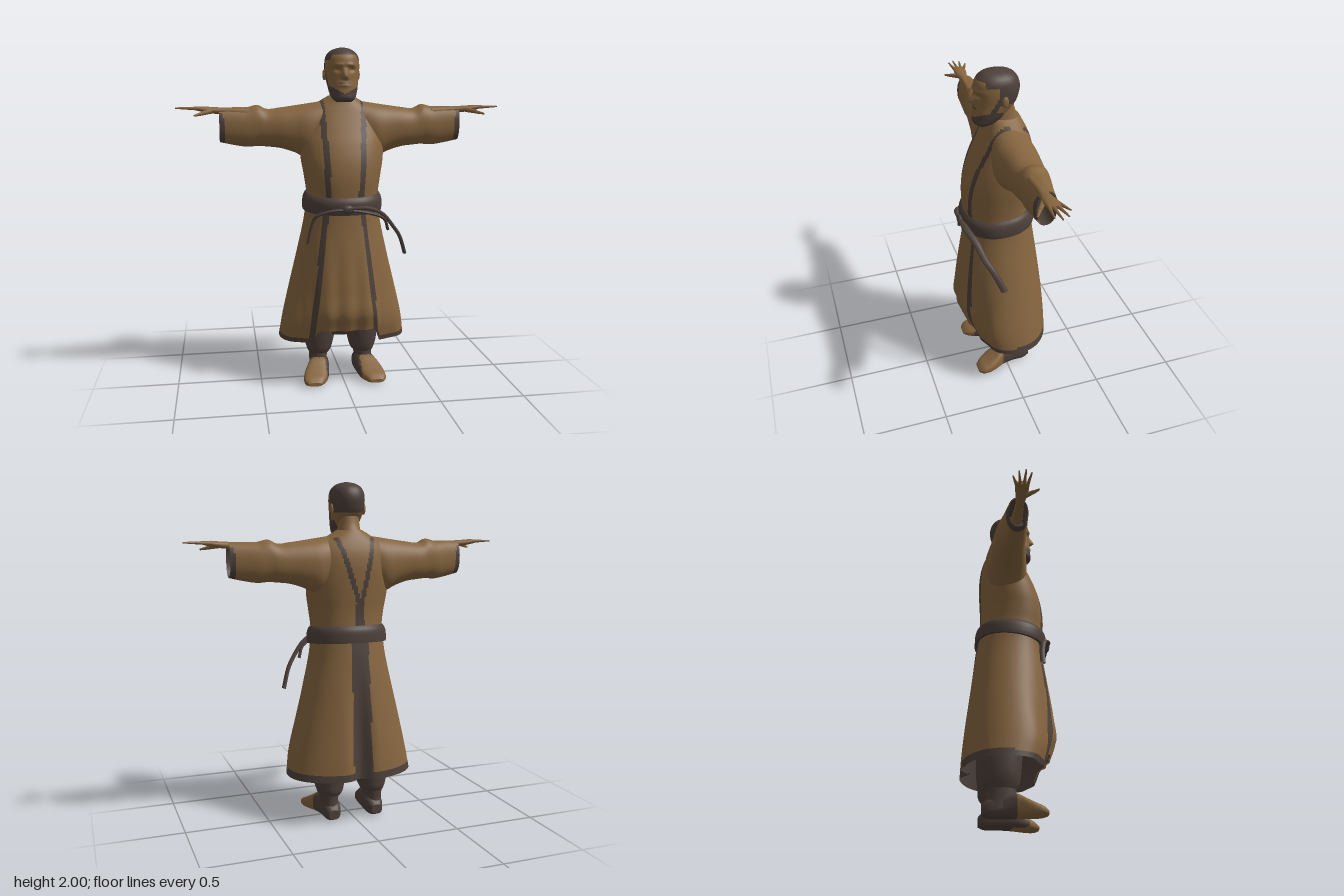
import * as THREE from 'three';

const tan = new THREE.MeshStandardMaterial({ color: 0x86653f, side: THREE.DoubleSide });
tan.name = 'tan cloth and skin';
const dark = new THREE.MeshStandardMaterial({ color: 0x4d403a, side: THREE.DoubleSide });
dark.name = 'dark brown trim';

const { lerp, smoothstep, mapLinear } = THREE.MathUtils;

// Skin rounded sections along an axis (0 x, 1 y, 2 z).
// Rows are [position, aMin, aMax, bMin, bMax]; a and b are axes +2 and +1.
// paint(p) says which faces are dark; warp(p) moves vertices.
function loft(name, axis, rows, { n = 2.2, seg = 32, steps = 24, warp, paint, mat = tan, caps = true } = {}) {
  const curve = new THREE.CubicInterpolant(rows.map(r => r[0]), rows.flatMap(r => r.slice(1)), 4, new Float32Array(4));
  const first = rows[0][0], last = rows[rows.length - 1][0];
  const b = (axis + 1) % 3, a = (axis + 2) % 3;
  const bend = v => Math.sign(v) * Math.abs(v) ** (2 / n);
  const pts = [];
  for (let j = 0; j <= steps; j++) {
    const t = lerp(first, last, j / steps);
    const [a0, a1, b0, b1] = curve.evaluate(t);
    for (let i = 0; i < seg; i++) {
      const th = (i / seg) * Math.PI * 2;
      const p = new THREE.Vector3();
      p.setComponent(axis, t);
      p.setComponent(a, (a0 + a1) / 2 + (a1 - a0) / 2 * bend(Math.cos(th)));
      p.setComponent(b, (b0 + b1) / 2 + (b1 - b0) / 2 * bend(Math.sin(th)));
      if (warp) warp(p);
      pts.push(p);
    }
  }
  const faces = [[], []];
  const add = (...ids) => {
    const mid = new THREE.Vector3();
    ids.forEach(i => mid.addScaledVector(pts[i], 1 / ids.length));
    const list = faces[paint && paint(mid) ? 1 : 0];
    for (let k = 1; k < ids.length - 1; k++) list.push(ids[0], ids[k], ids[k + 1]);
  };
  for (let j = 0; j < steps; j++) for (let i = 0; i < seg; i++) {
    const p = j * seg + i, q = j * seg + (i + 1) % seg;
    add(p, p + seg, q + seg, q);
  }
  if (caps) for (const end of [0, 1]) {
    const start = pts.length;
    const ring = pts.slice(end * steps * seg, end * steps * seg + seg);
    const mid = new THREE.Vector3();
    ring.forEach(p => mid.addScaledVector(p, 1 / seg));
    pts.push(...ring, mid);
    for (let i = 0; i < seg; i++) {
      const p = start + i, q = start + (i + 1) % seg;
      end ? add(q, p, start + seg) : add(p, q, start + seg);
    }
  }
  const geo = new THREE.BufferGeometry().setFromPoints(pts);
  geo.setIndex([...faces[0], ...faces[1]]);
  if (paint) {
    geo.addGroup(0, faces[0].length, 0);
    geo.addGroup(faces[0].length, faces[1].length, 1);
  }
  geo.computeVertexNormals();
  const mesh = new THREE.Mesh(geo, paint ? [tan, dark] : mat);
  mesh.name = name;
  return mesh;
}

// Tapered round rod between two points
function rod(name, from, to, r0, r1) {
  const A = new THREE.Vector3(...from), B = new THREE.Vector3(...to), d = B.clone().sub(A);
  const geo = new THREE.CylinderGeometry(r1, r0, d.length(), 8);
  geo.applyQuaternion(new THREE.Quaternion().setFromUnitVectors(new THREE.Vector3(0, 1, 0), d.clone().normalize()));
  geo.translate(...A.add(B).multiplyScalar(0.5).toArray());
  const mesh = new THREE.Mesh(geo, tan);
  mesh.name = name;
  return mesh;
}

// Flat cloth strand, deeper in z than it is thick
function strand(name, path, r, flat) {
  const curve = new THREE.CatmullRomCurve3(path.map(([x, y, z]) => new THREE.Vector3(x, y, z / flat)));
  const geo = new THREE.TubeGeometry(curve, 28, r, 8);
  geo.scale(1, 1, flat);
  geo.computeVertexNormals();
  const mesh = new THREE.Mesh(geo, dark);
  mesh.name = name;
  return mesh;
}

// Mirror a left part across x with the winding kept outward
function mirrored(mesh) {
  const geo = mesh.geometry.clone().scale(-1, 1, 1), ix = geo.index.array;
  for (let i = 0; i < ix.length; i += 3) [ix[i], ix[i + 1]] = [ix[i + 1], ix[i]];
  const copy = new THREE.Mesh(geo, mesh.material);
  copy.name = mesh.name.replace('left', 'right');
  return copy;
}

export function createModel() {
  const model = new THREE.Group();
  model.name = 'robedMan';
  const near = (v, c, w) => Math.abs(v - c) < w;

  // Skirt: raised front panel, stepped side panels, back pleat
  const skirtRows = [[0.275, -0.385, 0.385, -0.27, 0.24], [0.4, -0.365, 0.365, -0.265, 0.272], [0.6, -0.32, 0.32, -0.247, 0.262],
    [0.8, -0.272, 0.272, -0.222, 0.238], [1.0, -0.228, 0.228, -0.193, 0.212], [1.12, -0.214, 0.214, -0.175, 0.205]];
  const skirtWarp = p => {
    const low = 1 - smoothstep(p.y, 0.4, 1.05), ax = Math.abs(p.x);
    if (p.z > 0) {
      const side = smoothstep(ax, 0.165, 0.205);
      p.z += low * ((1 - side) * 0.006 * Math.cos(p.x * 55) - 0.028 * side * (1 - smoothstep(ax, 0.25, 0.36)));
      p.y += 0.085 * (1 - side) * (1 - smoothstep(p.y, 0.275, 0.6));
    } else p.z += 0.05 * low * Math.exp(-((p.x / 0.055) ** 2));
  };
  model.add(loft('skirt', 1, skirtRows, {
    seg: 160, steps: 60, caps: false, warp: skirtWarp,
    paint: p => p.z > 0
      ? near(p.x, mapLinear(p.y, 0.4, 1.05, -0.195, -0.118), 0.017) || near(p.x, mapLinear(p.y, 0.4, 1.05, 0.17, 0.1), 0.015)
        || (p.y < 0.31 && Math.abs(p.x) > 0.2)
      : near(p.x, -0.01, 0.055) || p.y < 0.315,
  }));
  const lining = skirtRows.slice(0, 4).map(r => [r[0] + 0.004, ...r.slice(1).map(v => v * 0.96)]);
  model.add(loft('skirtLining', 1, lining, { seg: 96, steps: 20, caps: false, warp: skirtWarp, mat: dark }));
  model.add(loft('liningTop', 1, [[0.78, -0.26, 0.26, -0.2, 0.215], [0.8, -0.26, 0.26, -0.2, 0.215]], { steps: 1, mat: dark }));

  // Upper robe with front bands and a V of bands on the back
  model.add(loft('upperRobe', 1, [[1.05, -0.222, 0.222, -0.18, 0.205], [1.15, -0.213, 0.213, -0.17, 0.215], [1.25, -0.225, 0.225, -0.165, 0.218],
    [1.35, -0.242, 0.242, -0.17, 0.203], [1.45, -0.25, 0.25, -0.175, 0.17], [1.53, -0.245, 0.245, -0.175, 0.133], [1.6, -0.232, 0.232, -0.165, 0.1],
    [1.65, -0.2, 0.2, -0.148, 0.078], [1.69, -0.13, 0.13, -0.13, 0.062], [1.725, -0.072, 0.072, -0.112, 0.055]], {
    seg: 160, steps: 64,
    paint: p => {
      if (p.z > -0.03) return near(p.x, mapLinear(p.y, 1.2, 1.7, -0.105, -0.127), 0.017) || near(p.x, mapLinear(p.y, 1.2, 1.7, 0.088, 0.125), 0.017);
      if (p.y < 1.3) return near(p.x, -0.015, 0.03);
      const k = (p.y - 1.28) / 0.34;
      return p.y < 1.68 && (near(p.x, lerp(-0.02, 0.09, k), 0.015) || near(p.x, lerp(-0.02, -0.095, k), 0.015));
    },
  }));

  // Belt, knot and hanging ends
  model.add(loft('belt', 1, [[1.065, -0.236, 0.236, -0.196, 0.226], [1.09, -0.238, 0.238, -0.196, 0.232], [1.15, -0.228, 0.228, -0.186, 0.23],
    [1.165, -0.216, 0.216, -0.172, 0.216]], { seg: 64, steps: 10, mat: dark, warp: p => { p.y -= 0.08 * p.z; } }));
  const knot = new THREE.Mesh(new THREE.SphereGeometry(1, 16, 10).scale(0.035, 0.026, 0.02), dark);
  knot.name = 'beltKnot';
  knot.position.set(0, 1.085, 0.24);
  model.add(knot);
  model.add(strand('beltEndLong', [[0, 1.09, 0.24], [0.12, 1.09, 0.235], [0.21, 1.05, 0.205], [0.28, 0.97, 0.175], [0.33, 0.9, 0.135], [0.375, 0.785, 0.085]], 0.011, 1.9));
  model.add(strand('beltLoop', [[0.02, 1.08, 0.24], [0.13, 1.06, 0.235], [0.22, 1.02, 0.2], [0.25, 0.95, 0.175]], 0.009, 1.5));
  model.add(strand('beltEndShort', [[0, 1.085, 0.24], [-0.1, 1.075, 0.235], [-0.18, 1.04, 0.2], [-0.205, 0.97, 0.185], [-0.225, 0.88, 0.185]], 0.009, 1.7));

  // Parts in pairs
  const left = [];
  const sleeve = [[0.1, -0.13, 0.08, 1.45, 1.695], [0.2, -0.155, 0.098, 1.365, 1.68], [0.28, -0.147, 0.085, 1.395, 1.668], [0.36, -0.136, 0.074, 1.42, 1.657],
    [0.44, -0.127, 0.062, 1.43, 1.65], [0.49, -0.117, 0.058, 1.434, 1.672], [0.55, -0.108, 0.055, 1.43, 1.66], [0.62, -0.09, 0.05, 1.44, 1.66], [0.712, -0.07, 0.045, 1.46, 1.657]];
  left.push(loft('leftSleeve', 0, sleeve, {
    seg: 48, steps: 60, caps: false,
    paint: p => p.x > 0.68 + 0.3 * Math.max(0, p.y - 1.58) && p.y < 1.63,
  }));
  left.push(loft('leftSleeveLining', 0, sleeve.slice(5).map(([x, a, b, c, d]) => [x - 0.002, a + 0.006, b - 0.006, c + 0.006, d - 0.006]),
    { steps: 8, caps: false, mat: dark }));
  left.push(loft('leftSleeveDepth', 0, [[0.53, -0.105, 0.05, 1.44, 1.65], [0.54, -0.105, 0.05, 1.44, 1.65]], { steps: 1, mat: dark }));
  left.push(loft('leftHand', 0, [[0.54, -0.035, 0.032, 1.6, 1.655], [0.7, -0.024, 0.027, 1.62, 1.66], [0.77, -0.034, 0.036, 1.628, 1.664],
    [0.82, -0.04, 0.037, 1.638, 1.667], [0.85, -0.034, 0.032, 1.645, 1.664]], { seg: 20, steps: 14 }));
  [[-0.03, 0.895, -0.06], [-0.012, 0.94, -0.033], [0.007, 0.957, 0.004], [0.025, 0.935, 0.037]].forEach(([z0, x, z], i) =>
    left.push(rod('leftFinger' + (i + 1), [0.82, 1.654, z0], [x, 1.657, z], 0.011, 0.004)));
  left.push(rod('leftThumb', [0.755, 1.64, 0.02], [0.81, 1.628, 0.062], 0.015, 0.011));
  left.push(rod('leftThumbTip', [0.805, 1.628, 0.059], [0.85, 1.617, 0.088], 0.011, 0.005));

  left.push(loft('leftTrouserLeg', 1, [[0.155, 0.07, 0.205, -0.14, 0.04], [0.175, 0.06, 0.212, -0.152, 0.052], [0.21, 0.05, 0.222, -0.155, 0.06],
    [0.3, 0.032, 0.232, -0.165, 0.07], [0.5, 0.005, 0.235, -0.165, 0.08]], { mat: dark }));
  left.push(loft('leftBootShaft', 1, [[0.04, 0.085, 0.195, -0.14, 0.04], [0.1, 0.088, 0.195, -0.132, 0.04], [0.19, 0.08, 0.2, -0.138, 0.035]], { mat: dark }));
  left.push(loft('leftFoot', 2, [[-0.15, 0.012, 0.07, 0.105, 0.17], [-0.12, 0, 0.1, 0.088, 0.185], [-0.04, 0, 0.13, 0.08, 0.195], [0.04, 0, 0.13, 0.083, 0.215],
    [0.09, 0, 0.1, 0.09, 0.238], [0.14, 0, 0.072, 0.105, 0.25], [0.18, 0.003, 0.052, 0.13, 0.245], [0.202, 0.01, 0.032, 0.15, 0.225]],
  { n: 2.8, seg: 40, steps: 36, paint: p => p.z < 0.035 || p.x < 0.108 }));

  const ear = new THREE.Mesh(new THREE.SphereGeometry(1, 12, 10).scale(0.011, 0.032, 0.019).translate(0.1, 1.845, -0.005), tan);
  ear.name = 'leftEar';
  left.push(ear);
  left.forEach(part => model.add(part, mirrored(part)));

  model.add(loft('trouserSeat', 1, [[0.27, -0.16, 0.16, -0.12, 0.04], [0.32, -0.19, 0.19, -0.14, 0.06], [0.5, -0.2, 0.2, -0.14, 0.07]], { steps: 8, mat: dark }));

  // Neck and head: hair, sideburns and beard are dark faces
  model.add(loft('neck', 1, [[1.62, -0.08, 0.08, -0.125, 0.06], [1.7, -0.068, 0.068, -0.118, 0.056], [1.75, -0.062, 0.062, -0.092, 0.055], [1.82, -0.06, 0.06, -0.075, 0.05]], { steps: 12 }));
  model.add(loft('head', 1, [[1.69, -0.042, 0.042, 0.06, 0.13], [1.705, -0.062, 0.062, 0.03, 0.148], [1.74, -0.078, 0.078, -0.02, 0.15], [1.78, -0.087, 0.087, -0.055, 0.146],
    [1.82, -0.094, 0.094, -0.09, 0.141], [1.87, -0.1, 0.1, -0.108, 0.141], [1.91, -0.1, 0.1, -0.112, 0.142], [1.95, -0.092, 0.092, -0.1, 0.131],
    [1.975, -0.073, 0.073, -0.078, 0.108], [1.992, -0.042, 0.042, -0.04, 0.078], [2.0, -0.008, 0.008, 0.01, 0.03]], {
    seg: 88, steps: 72,
    warp: p => {
      if (p.z < 0.08) return;
      const g = (v, c, w) => Math.exp(-(((v - c) / w) ** 2)), ax = Math.abs(p.x);
      const nose = p.y < 1.835 ? smoothstep(p.y, 1.812, 1.835) : 1 - smoothstep(p.y, 1.835, 1.895);
      p.z += 0.032 * g(p.x, 0, 0.016) * nose - 0.013 * g(ax, 0.04, 0.02) * g(p.y, 1.872, 0.014)
        + 0.006 * g(ax, 0.035, 0.03) * g(p.y, 1.9, 0.01) + 0.007 * g(p.x, 0, 0.03) * g(p.y, 1.785, 0.012);
    },
    paint: p => {
      const ax = Math.abs(p.x);
      const hair = p.y > 1.958 || (p.y > 1.925 && p.z < 0.095) || (p.y > 1.825 && p.z < 0.03);
      const beard = p.y < 1.735 + ax * 0.55 && p.z > 0.0;
      const burn = p.y < 1.88 && p.y > 1.74 && near(p.z, 0.07 - 0.5 * (p.y - 1.76), 0.016);
      return hair || beard || burn || (ax < 0.032 && near(p.y, 1.797, 0.004) && p.z > 0.1);
    },
  }));
  return model;
}
